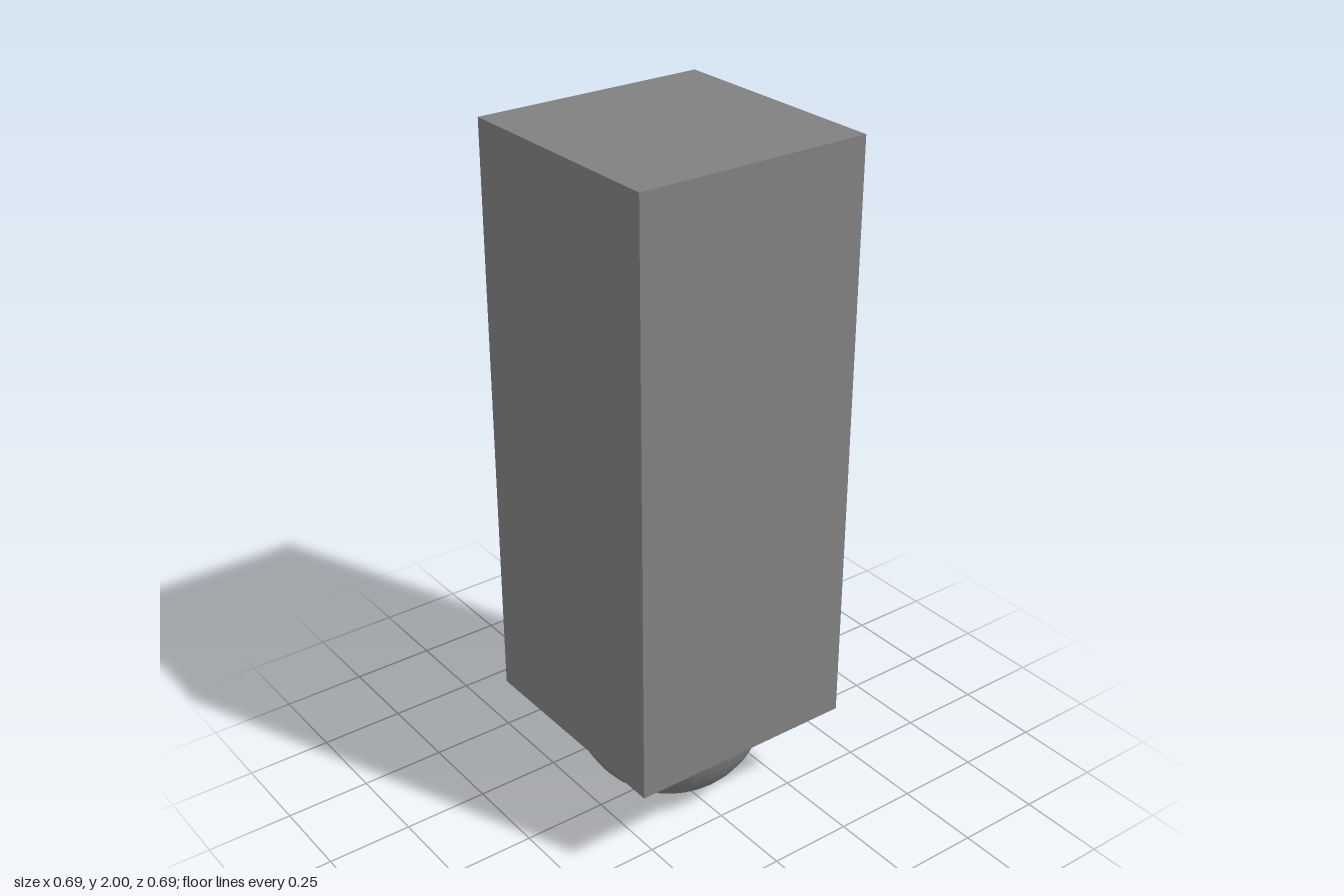
import * as THREE from 'three';

const U = 2 / 3.5; // body is 1.2 x 3 x 1.2 units on a ball of radius 0.5

export function createModel() {
  const group = new THREE.Group();
  const bodyGrey = new THREE.MeshStandardMaterial({ color: 0x808080 });
  bodyGrey.name = 'bodyGrey';
  const faceGrey = new THREE.MeshStandardMaterial({ color: 0xd0d0d0 });
  faceGrey.name = 'faceGrey';

  const add = (name, geometry, material, x, y, z) => {
    const mesh = new THREE.Mesh(geometry, material);
    mesh.name = name;
    mesh.position.set(x, y, z);
    group.add(mesh);
    return mesh;
  };

  // Tall square body
  add('body', new THREE.BoxGeometry(1.2 * U, 3 * U, 1.2 * U), bodyGrey, 0, 2 * U, 0);

  // Faceted rolling ball, half sunk into the body
  const ball = new THREE.SphereGeometry(0.5 * U, 32, 32).toNonIndexed();
  ball.computeVertexNormals();
  add('ball', ball, bodyGrey, 0, 0.5 * U, 0);

  // Rounded face plates on the -x side
  const plate = (name, w, h, y, z) => {
    const r = 0.035, a = w / 2 - r, b = h / 2 - r;
    const s = new THREE.Shape();
    s.absarc(a, b, r, 0, Math.PI / 2);
    s.absarc(-a, b, r, Math.PI / 2, Math.PI);
    s.absarc(-a, -b, r, Math.PI, Math.PI * 1.5);
    s.absarc(a, -b, r, Math.PI * 1.5, Math.PI * 2);
    const mesh = add(name, new THREE.ShapeGeometry(s, 6), faceGrey, -0.6 * U - 0.003, y, z);
    mesh.rotation.y = -Math.PI / 2;
  };
  plate('rightEye', 0.118, 0.118, 1.822, -0.175);
  plate('leftEye', 0.118, 0.118, 1.822, 0.175);
  plate('mouth', 0.468, 0.116, 1.487, 0);

  return group;
}
